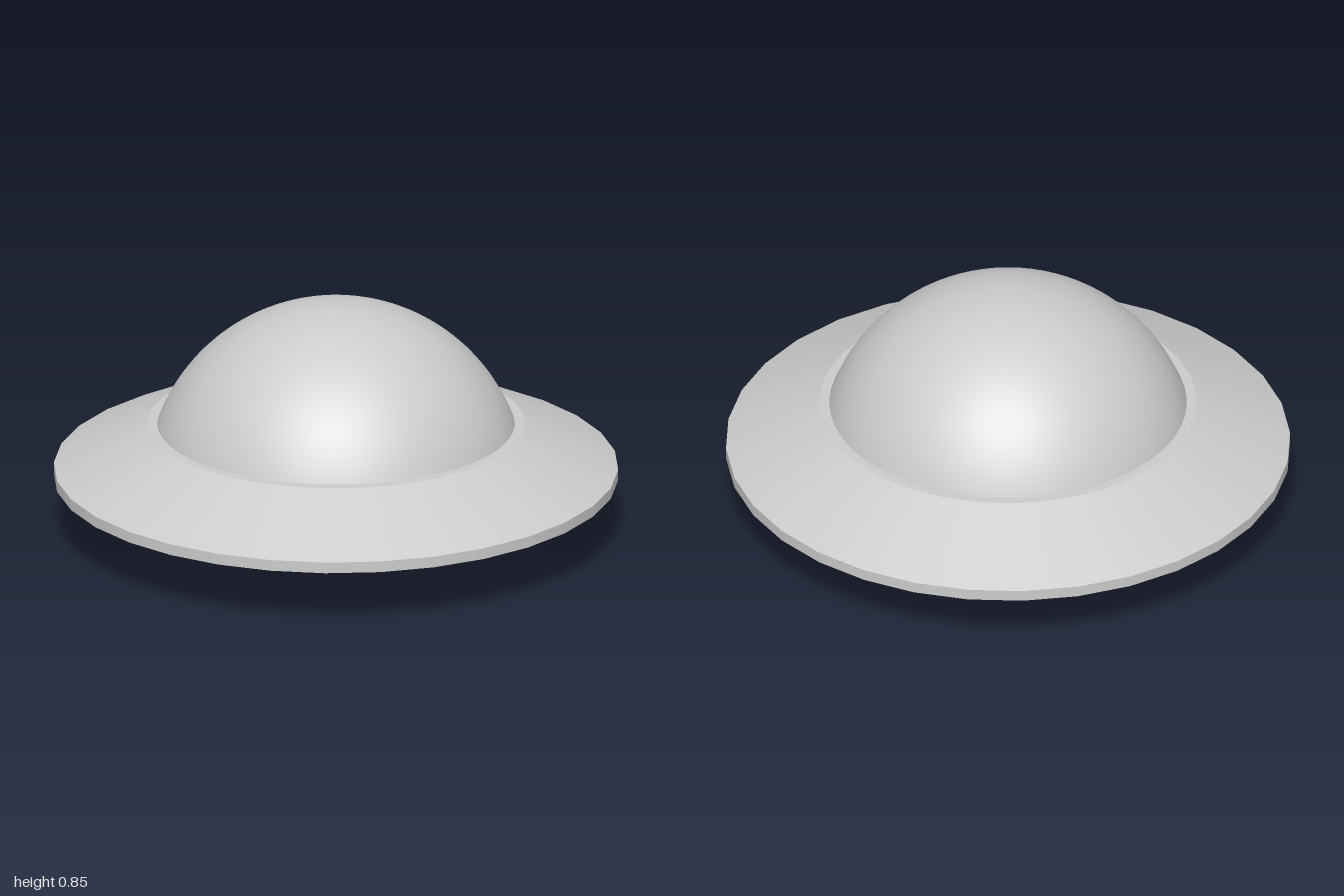
import * as THREE from 'three';

export function createModel() {
  const group = new THREE.Group();
  const material = new THREE.MeshStandardMaterial({ color: 0xcccccc });
  const add = (name, geometry, y = 0) => {
    const mesh = new THREE.Mesh(geometry, material);
    mesh.name = name;
    mesh.position.y = y;
    group.add(mesh);
  };

  // Saucer bands stacked from the ground up: bottom/top radius and height
  const band = (name, r0, y0, r1, y1) =>
    add(name, new THREE.CylinderGeometry(r1, r0, y1 - y0, 32, 1, true), (y0 + y1) / 2);
  band('lowerHull', 0.42, 0, 1, 0.21);
  band('rim', 1, 0.21, 1, 0.25);
  band('upperHull', 1, 0.25, 0.67, 0.41);

  // Flat floor and deck closing the saucer
  add('floor', new THREE.CircleGeometry(0.42, 32, Math.PI / 2).rotateX(Math.PI / 2));
  add('deck', new THREE.CircleGeometry(0.67, 32, Math.PI / 2).rotateX(-Math.PI / 2), 0.41);

  // Dome: spherical cap seated on the deck
  const radius = 0.674, centre = 0.178;
  const sweep = Math.acos((0.41 - centre) / radius);
  add('dome', new THREE.SphereGeometry(radius, 64, 24, 0, Math.PI * 2, 0, sweep), centre);

  return group;
}
